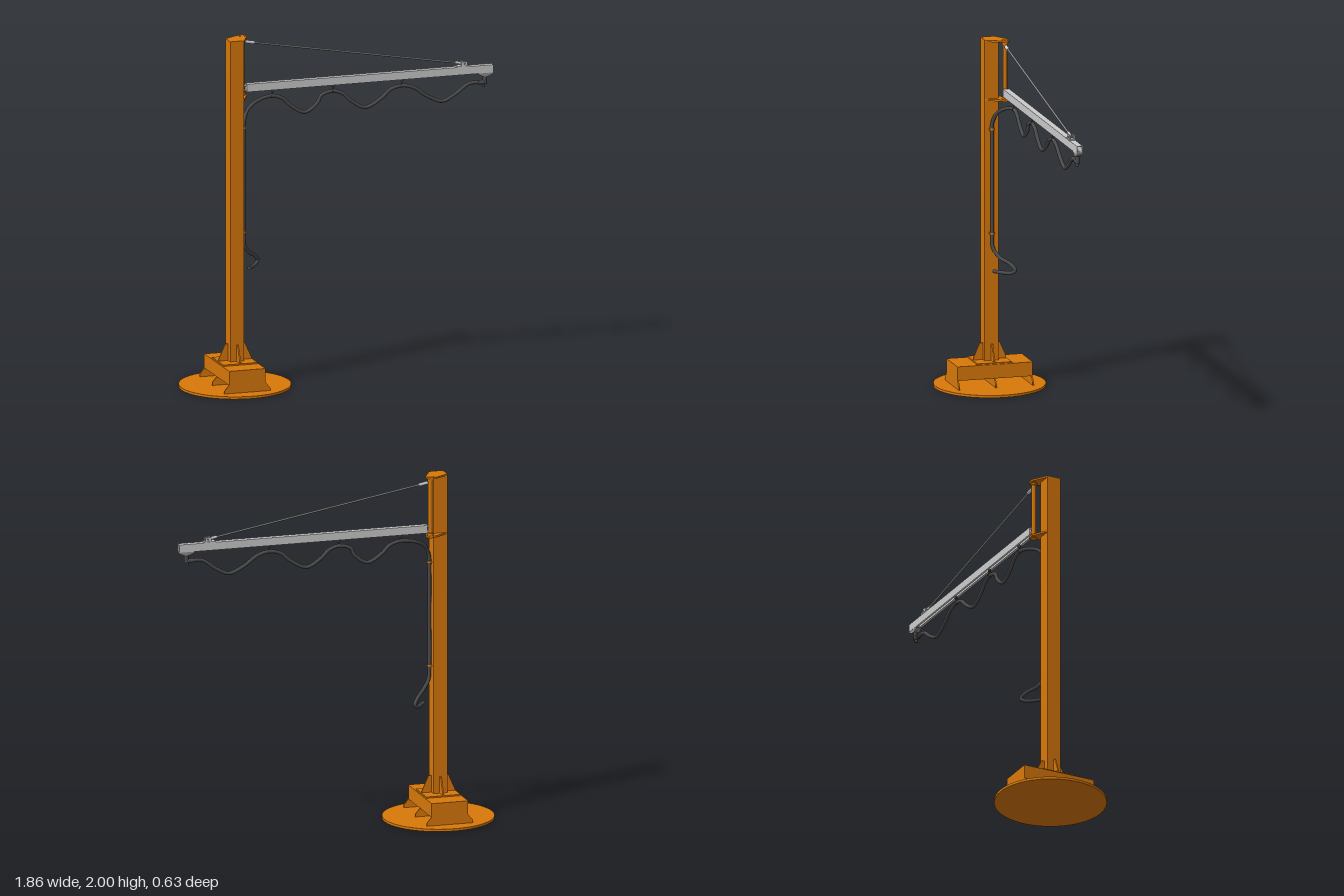
import * as THREE from 'three';

const ORANGE = 0xd9780a, GREY = 0xcccccc, STEEL = 0x8c8c8c, DARK = 0x4a4a4a;
const CX = -0.618; // post axis
const BZ = -0.07;  // boom plane
const mats = {};
const mat = c => (mats[c] ??= new THREE.MeshStandardMaterial({ color: c }));
const V = (...a) => new THREE.Vector3(...a);

export function createModel() {
  const root = new THREE.Group();
  root.name = 'jibArm';

  const add = (name, geo, color, x = 0, y = 0, z = 0) => {
    const m = new THREE.Mesh(geo, mat(color));
    m.name = name;
    m.position.set(x, y, z);
    root.add(m);
    return m;
  };
  const box = (name, color, x0, x1, y0, y1, z0, z1) =>
    add(name, new THREE.BoxGeometry(x1 - x0, y1 - y0, z1 - z0), color, (x0 + x1) / 2, (y0 + y1) / 2, (z0 + z1) / 2);
  const cyl = (name, color, r, y0, y1, x, z, seg = 24) =>
    add(name, new THREE.CylinderGeometry(r, r, y1 - y0, seg), color, x, (y0 + y1) / 2, z);
  // Rod between two points
  const rod = (name, color, r, a, b, seg = 16) => {
    const m = add(name, new THREE.CylinderGeometry(r, r, a.distanceTo(b), seg), color);
    m.position.copy(a).lerp(b, 0.5);
    m.quaternion.setFromUnitVectors(V(0, 1, 0), b.clone().sub(a).normalize());
    return m;
  };
  // Flat plate cut from an outline, centred on its thickness
  const plate = (pts, t) => {
    const s = new THREE.Shape(pts.map(p => new THREE.Vector2(...p)));
    return new THREE.ExtrudeGeometry(s, { depth: t, bevelEnabled: false }).translate(0, 0, -t / 2);
  };

  // Base disc, raised foot beam and its ribs
  add('baseDisc', new THREE.CylinderGeometry(0.316, 0.316, 0.014, 64), ORANGE, CX, 0.007, 0);
  box('footBeam', ORANGE, CX - 0.107, CX + 0.107, 0.062, 0.143, -0.22, 0.22);
  const rib = plate([[-0.135, 0.012], [0.135, 0.012], [0.135, 0.03], [0.107, 0.064], [-0.107, 0.064], [-0.135, 0.03]], 0.008);
  for (const z of [-0.216, 0, 0.216]) add('footRib', rib, ORANGE, CX, 0, z);

  // Post with foot plate and four gussets
  box('postFootPlate', ORANGE, CX - 0.1, CX + 0.1, 0.143, 0.151, -0.1, 0.1);
  box('post', ORANGE, CX - 0.041, CX + 0.041, 0.15, 1.994, -0.041, 0.041);
  const gusset = plate([[0.038, 0.15], [0.096, 0.15], [0.096, 0.162], [0.058, 0.247], [0.038, 0.247]], 0.008);
  for (let i = 0; i < 4; i++) add('postGusset', gusset, ORANGE, CX, 0, 0).rotation.y = i * Math.PI / 2;

  // Pivot brackets reaching out from the post corner
  const bracketOutline = [[-0.659, 0.041], [-0.659, -0.041], [-0.575, -0.093], [-0.535, -0.093],
    [-0.525, -0.083], [-0.525, -0.06], [-0.577, 0.041]];
  const bracket = plate(bracketOutline, 0.01).rotateX(Math.PI / 2);
  for (const y of [1.653, 1.992]) {
    add('pivotBracket', bracket, ORANGE, 0, y, 0);
    cyl('pivotCollar', ORANGE, 0.02, y - 0.009, y + 0.007, -0.55, BZ);
  }
  cyl('pivotTube', ORANGE, 0.0125, 1.658, 1.987, -0.55, BZ);
  cyl('pivotBottomSleeve', ORANGE, 0.017, 1.658, 1.672, -0.55, BZ);
  cyl('pivotTopSleeve', ORANGE, 0.017, 1.972, 1.985, -0.55, BZ);

  // Boom: C-rail, slotted underneath
  const w = 0.0175, t = 0.004, s = 0.006, b = 1.675, h = 1.72;
  const rail = plate([[-w, h], [-w, b], [-s, b], [-s, b + t], [-w + t, b + t], [-w + t, h - t],
    [w - t, h - t], [w - t, b + t], [s, b + t], [s, b], [w, b], [w, h]], 1.456).rotateY(Math.PI / 2);
  add('boomRail', rail, GREY, 0.201, 0, BZ);
  for (const y of [1.681, 1.708]) box('boomLug', GREY, -0.55, -0.5, y, y + 0.007, BZ - 0.012, BZ + 0.012);
  box('boomEndPlate', GREY, -0.529, -0.523, b, h, BZ - w, BZ + w);

  // Tie rod with end fittings
  const top = V(-0.545, 1.965, BZ), end = V(0.765, 1.736, BZ);
  const along = f => top.clone().lerp(end, f);
  rod('tieRod', STEEL, 0.0055, top, end);
  rod('upperTieFitting', GREY, 0.0095, along(0.01), along(0.048));
  rod('lowerTieFitting', GREY, 0.0085, along(0.955), along(0.99));
  box('tieFootPlate', GREY, 0.715, 0.785, 1.719, 1.726, BZ - 0.02, BZ + 0.02);
  for (const d of [-0.013, 0.013]) box('tieFootEar', GREY, 0.74, 0.775, 1.724, 1.749, BZ + d - 0.003, BZ + d + 0.003);
  rod('tiePin', STEEL, 0.005, V(0.76, 1.737, BZ - 0.022), V(0.76, 1.737, BZ + 0.022));

  // Outlet bracket under the boom tip
  add('outletBracket', plate([[0.84, 1.676], [0.93, 1.676], [0.93, 1.669], [0.9, 1.655], [0.87, 1.655], [0.84, 1.669]], 0.032), STEEL, 0, 0, BZ);
  cyl('outletNeck', DARK, 0.013, 1.61, 1.657, 0.884, BZ);
  cyl('outletNozzle', DARK, 0.009, 1.593, 1.612, 0.876, BZ);
  rod('hoseFerrule', DARK, 0.0135, V(0.845, 1.62, BZ), V(0.885, 1.62, BZ));

  // Hose: festoon below the boom, down the post, then a loose tail
  const path = [[0.87, 1.62, BZ], [0.79, 1.618, BZ], [0.706, 1.562, BZ], [0.632, 1.53, BZ], [0.545, 1.565, BZ], [0.465, 1.62, BZ]];
  for (const [peak, dip] of [[0.394, 0.177], [-0.012, -0.18]]) {
    path.push([peak, 1.638, BZ], [peak - 0.07, 1.62, BZ], [(peak + dip) / 2 - 0.01, 1.578, BZ],
      [dip, 1.53, BZ], [dip - 0.085, 1.575, BZ], [dip - 0.13, 1.618, BZ]);
  }
  path.push([-0.373, 1.638, BZ], [-0.468, 1.622, -0.05], [-0.535, 1.583, -0.02], [-0.564, 1.52, 0], [-0.566, 1.44, 0],
    [-0.566, 1.15, 0], [-0.566, 0.88, 0], [-0.56, 0.805, -0.002], [-0.52, 0.755, -0.03], [-0.472, 0.723, -0.08],
    [-0.45, 0.692, -0.1], [-0.468, 0.674, -0.082], [-0.532, 0.674, 0]);
  const curve = new THREE.CatmullRomCurve3(path.map(p => V(...p)), false, 'centripetal');
  add('hose', new THREE.TubeGeometry(curve, 420, 0.0105, 14, false), DARK);
  rod('hoseTip', DARK, 0.0105, V(-0.527, 0.674, -0.006), V(-0.534, 0.674, 0.003));

  // Hose hangers on the rail and clips on the post
  for (const x of [-0.373, -0.012, 0.394]) {
    cyl('hangerStem', DARK, 0.004, 1.645, 1.68, x, BZ, 12);
    cyl('hangerGlider', DARK, 0.009, 1.664, 1.677, x, BZ, 16);
    rod('hangerBand', DARK, 0.0125, V(x - 0.007, 1.638, BZ), V(x + 0.007, 1.638, BZ));
  }
  for (const y of [0.885, 1.485]) {
    cyl('postClip', ORANGE, 0.0125, y - 0.005, y + 0.005, -0.566, 0);
    box('postClipTab', ORANGE, -0.58, -0.566, y - 0.005, y + 0.005, -0.016, 0.016);
  }
  return root;
}
